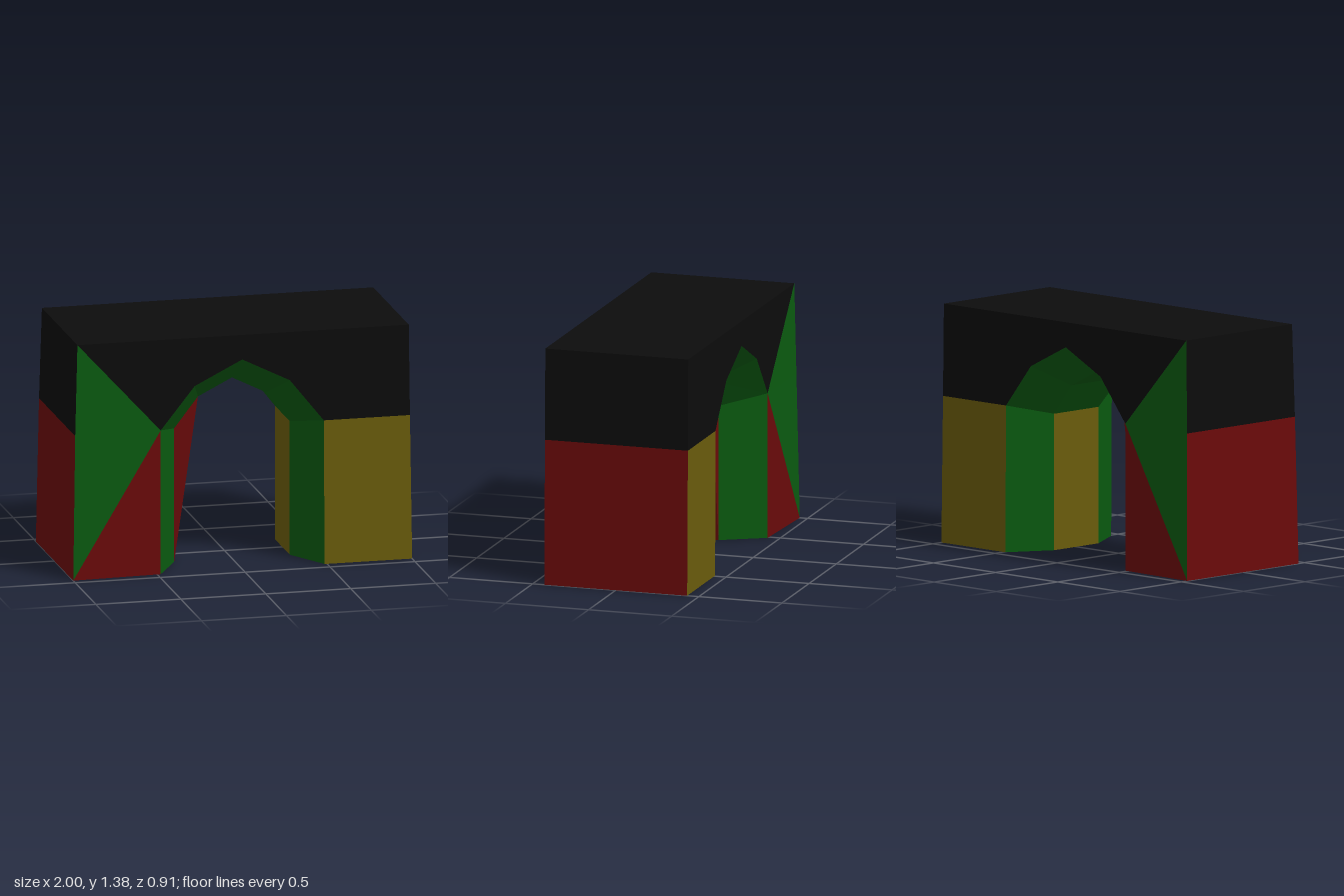
import * as THREE from 'three';

const COLORS = { black: 0x0c0c0c, red: 0x6a0a0a, green: 0x0a5a10, olive: 0x6a5c0c };
const TOP = 1.385, Z = 0.43, ZI = 0.18, SPRING = 0.85;

// Flat-shaded mesh from convex polygons, corners counter-clockwise
function panel(name, color, polygons) {
  const pos = [];
  for (const p of polygons)
    for (let i = 1; i < p.length - 1; i++) pos.push(...p[0], ...p[i], ...p[i + 1]);
  const geo = new THREE.BufferGeometry();
  geo.setAttribute('position', new THREE.Float32BufferAttribute(pos, 3));
  geo.computeVertexNormals();
  const mat = new THREE.MeshStandardMaterial({ color: COLORS[color], flatShading: true, side: THREE.DoubleSide });
  const mesh = new THREE.Mesh(geo, mat);
  mesh.name = name;
  return mesh;
}

// Front polygons plus their copies on the back
const flip = ([x, y, z]) => [x, y, -z];
const both = (polys) => [...polys, ...polys.map((p) => p.map(flip).reverse())];
// Strip from a front edge straight through to the back
const across = (a, b) => [a, flip(a), flip(b), b];

export function createModel() {
  const group = new THREE.Group();
  const add = (...args) => group.add(panel(...args));

  // Arch outlines: wide on the faces, narrow in the middle of the passage
  const outer = [[-0.48, SPRING], [-0.28, 1.1], [0, 1.24], [0.28, 1.1], [0.48, SPRING]].map(([x, y]) => [x, y, Z]);
  const inner = [[-0.34, 0.79], [-0.2, 0.97], [0, 1.07], [0.2, 0.97], [0.34, 0.79]].map(([x, y]) => [x, y, ZI]);
  const crown = [-0.97, -0.28, 0, 0.28, 0.98].map((x) => [x, TOP, Z]);

  // Corners of the two piers
  const rOut = [-1, 0, 0.453], rMid = [-0.985, SPRING, 0.438], rFace = [-0.48, 0, Z], rIn = [-0.34, 0, ZI];
  const lOut = [1, 0, Z], lMid = [0.987, SPRING, Z], lFace = [0.485, 0, Z], lIn = [0.34, 0, ZI];

  // Wall above the arch
  const wall = [[outer[4], lMid, crown[4]]], chamfer = [], soffit = [];
  for (let i = 0; i < 4; i++) {
    wall.push([outer[i], outer[i + 1], crown[i + 1], crown[i]]);
    chamfer.push([inner[i], inner[i + 1], outer[i + 1], outer[i]]);
    if (i > 0) soffit.push(across(inner[i + 1], inner[i]));
  }
  add('upperWall', 'black', both(wall));
  add('roof', 'black', [across(crown[4], crown[0]).reverse()]);
  add('upperEnds', 'black', [across(lMid, crown[4]), across(crown[0], rMid)]);
  add('archChamfer', 'green', both(chamfer));
  add('archSoffit', 'green', soffit);

  // Right pier: flared outward, with a leaning passage wall
  add('rightPierFace', 'red', both([[rOut, rFace, outer[0]]]));
  add('rightPierShoulder', 'green', both([[rOut, outer[0], rMid], [rMid, outer[0], crown[0]]]));
  add('rightPierEnd', 'red', [across(rMid, rOut)]);
  add('rightPierChamfer', 'green', both([[rFace, rIn, inner[0], outer[0]]]));
  add('rightPierPassage', 'red', [across(rIn, inner[1]), ...both([[rIn, inner[1], inner[0]]])]);
  add('rightPierBase', 'red', [[rOut, flip(rOut), flip(rFace), flip(rIn), rIn, rFace]]);

  // Left pier: upright, open underneath
  add('leftPierFace', 'olive', both([[lFace, lOut, lMid, outer[4]]]));
  add('leftPierEnd', 'red', [across(lOut, lMid)]);
  add('leftPierChamfer', 'green', both([[lIn, lFace, outer[4], inner[4]]]));
  add('leftPierPassage', 'olive', [across(inner[4], lIn)]);

  return group;
}
